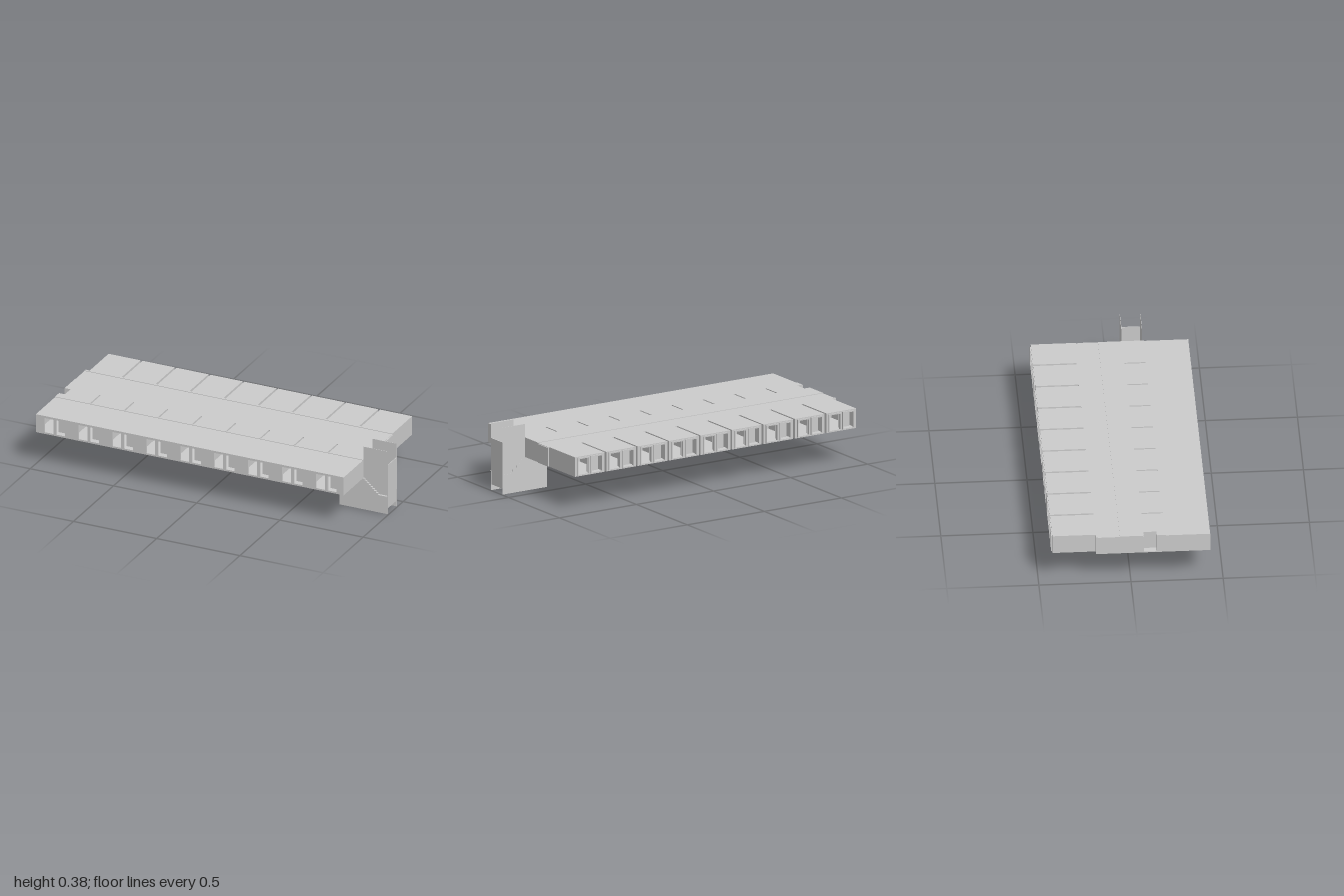
import * as THREE from 'three';

const mat = new THREE.MeshStandardMaterial({ color: 0xcccccc, side: THREE.DoubleSide, flatShading: true });
const Y0 = 0.19, Y1 = 0.3, PITCH = 0.204, ROOMS = 9, END = 0.85;

function add(parent, name, geometry) {
  const mesh = new THREE.Mesh(geometry, mat);
  mesh.name = name;
  parent.add(mesh);
  return mesh;
}

// Box given by its minimum and maximum along each axis
function box(parent, name, x0, x1, y0, y1, z0, z1) {
  const mesh = add(parent, name, new THREE.BoxGeometry(x1 - x0, y1 - y0, z1 - z0));
  mesh.position.set((x0 + x1) / 2, (y0 + y1) / 2, (z0 + z1) / 2);
  return mesh;
}

const points = (list) => list.map(([a, b]) => new THREE.Vector2(a, b));
const rect = (a0, a1, b0, b1) => points([[a0, b0], [a1, b0], [a1, b1], [a0, b1]]);

// Upright sheet in the xy plane, with optional holes
function upright(parent, name, outline, holes, z, depth) {
  const shape = new THREE.Shape(outline);
  holes.forEach((h) => shape.holes.push(new THREE.Path(h)));
  const mesh = add(parent, name, new THREE.ExtrudeGeometry(shape, { depth, bevelEnabled: false }));
  mesh.position.z = z;
  return mesh;
}

// Flat sheet drawn in x and z, its top at the given height
function flat(parent, name, outline, holes, top, depth) {
  const mesh = upright(parent, name, outline, holes, 0, depth);
  mesh.rotation.x = Math.PI / 2;
  mesh.position.y = top;
  return mesh;
}

function frontWing() {
  const g = new THREE.Group();
  g.name = 'frontWing';
  const holes = [];
  for (let k = 0; k < ROOMS; k++) {
    const s = -k * PITCH;
    holes.push(rect(0.684 + s, 0.737 + s, 0.2, 0.285), rect(0.754 + s, 0.807 + s, 0.2, 0.285));
    box(g, 'windowPanel', 0.75 + s, 0.811 + s, 0.197, 0.288, 0.385, 0.39);
    if (k > 0) box(g, 'roomPartition', END + s - 0.008, END + s, Y0 + 0.004, Y1 - 0.008, 0.18, 0.425);
  }
  box(g, 'floor', -1, END, Y0, Y0 + 0.005, -0.19, 0.43);
  upright(g, 'frontFacade', rect(-1, END, Y0, Y1 - 0.003), holes, 0.422, 0.008);
  box(g, 'roomBackWall', -0.995, END - 0.005, Y0, Y1 - 0.006, 0.18, 0.187);
  box(g, 'frontRoof', -1, END, Y1 - 0.009, Y1 - 0.003, 0.19, 0.43);

  // Middle roof with narrow light slots and a small notch at the right end
  const slots = [];
  for (let k = 1; k < ROOMS; k++) {
    const x = END - k * PITCH;
    slots.push(rect(x - 0.011, x - 0.002, 0.07, 0.185));
    for (const dx of [-0.016, -0.002]) {
      box(g, 'slotWall', x + dx, x + dx + 0.004, Y0, Y1 - 0.003, 0.066, 0.187);
    }
  }
  flat(g, 'middleRoof', points([[-1, -0.06], [END, -0.06], [END, 0.19], [-1, 0.19],
    [-1, 0.14], [-0.965, 0.14], [-0.965, 0.07], [-1, 0.07]]), slots, Y1, 0.008);
  box(g, 'corridorRoof', -1, END, Y1 - 0.009, Y1 - 0.003, -0.178, -0.06);
  box(g, 'corridorEdge', -1, END, Y0, Y1, -0.19, -0.178);

  // End walls
  box(g, 'leftEndWall', END - 0.006, END, Y0, Y1 - 0.003, -0.19, 0.43);
  box(g, 'rightEndWall', -1, -0.994, Y0, Y1 - 0.003, -0.19, 0.07);
  box(g, 'rightEndWall', -1, -0.994, Y0, Y1 - 0.003, 0.14, 0.43);
  box(g, 'notchBack', -0.965, -0.96, Y0, Y1 - 0.003, 0.065, 0.145);
  for (const z of [0.065, 0.14]) box(g, 'notchSide', -1.002, -0.96, Y0, Y1 - 0.003, z, z + 0.005);
  box(g, 'corridorDoor', END, END + 0.006, Y0, Y1 - 0.005, -0.17, -0.07);
  return g;
}

// One hollow room of the back wing, its outer left corner at x1
function backRoom(x1) {
  const g = new THREE.Group();
  g.name = 'backRoom';
  const x0 = x1 - 0.192;
  box(g, 'floor', x0, x1, Y0, Y0 + 0.005, -0.425, -0.19);
  box(g, 'roof', x0, x1, Y1 - 0.006, Y1, -0.425, -0.19);
  for (const x of [x0, x1 - 0.005]) box(g, 'sideWall', x, x + 0.005, Y0, Y1, -0.425, -0.19);
  const openings = [rect(x0 + 0.02, x0 + 0.084, 0.2, 0.287), rect(x0 + 0.106, x0 + 0.172, 0.2, 0.287)];
  upright(g, 'backFacade', rect(x0, x1, Y0, Y1), openings, -0.425, 0.008);
  // Slightly raised frame round each opening
  for (const [a, b] of [[0.014, 0.09], [0.1, 0.178]]) {
    upright(g, 'windowFrame', rect(x0 + a, x0 + b, 0.195, 0.294),
      [rect(x0 + a + 0.006, x0 + b - 0.006, 0.2, 0.287)], -0.431, 0.007);
  }
  box(g, 'windowPanel', x0 + 0.016, x0 + 0.088, 0.196, 0.292, -0.385, -0.38);
  return g;
}

function stairTower() {
  const g = new THREE.Group();
  g.name = 'stairTower';
  const side = points([[0.705, 0], [0.995, 0], [0.995, 0.375], [END, 0.375], [END, Y0], [0.705, Y0]]);
  for (const z of [0.067, 0.178]) upright(g, 'stairSideWall', side, [], z, 0.002);
  box(g, 'upperEndWall', 0.991, 0.995, 0.11, 0.293, 0.069, 0.178);
  box(g, 'lowerEndWall', 0.988, 0.992, 0.032, 0.11, 0.067, 0.178);

  // Flight of steps running down to the landing
  const n = 8, dx = 0.09 / n, dy = 0.08 / n;
  const profile = [[END, Y0]];
  for (let i = 0; i < n; i++) {
    profile.push([END + (i + 1) * dx, Y0 - i * dy], [END + (i + 1) * dx, Y0 - (i + 1) * dy]);
  }
  profile.push([0.994, 0.11], [0.994, 0.105], [0.936, 0.105], [END, 0.18]);
  upright(g, 'stairFlight', points(profile), [], 0.066, 0.126);
  return g;
}

export function createModel() {
  const model = new THREE.Group();
  model.name = 'buildingFloor';
  model.add(frontWing(), stairTower());
  for (let k = 0; k < ROOMS; k++) model.add(backRoom(END - k * PITCH));
  return model;
}
